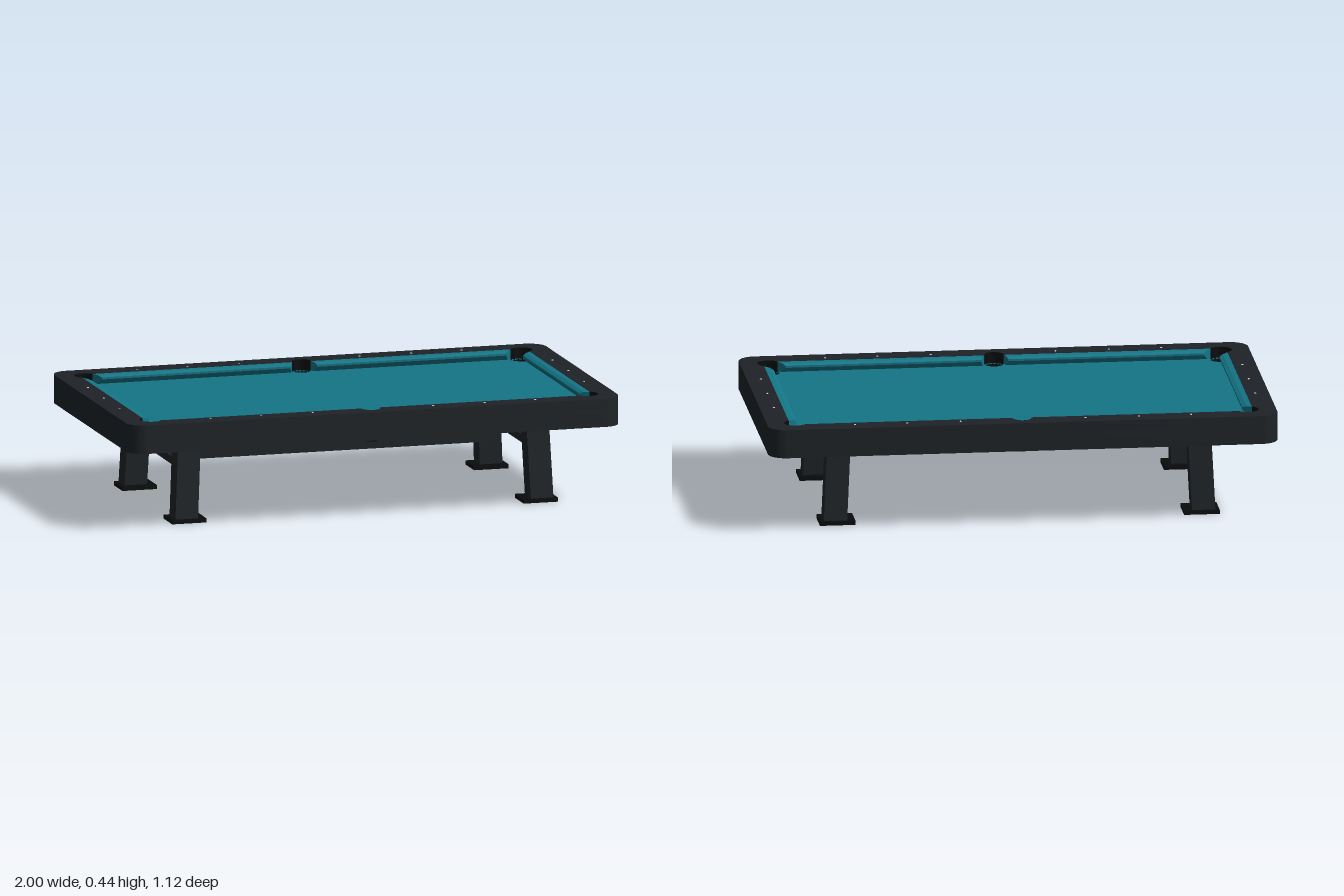
import * as THREE from 'three';
import { toCreasedNormals } from 'three/addons/utils/BufferGeometryUtils.js';

const paint = (color, side = THREE.FrontSide) => new THREE.MeshStandardMaterial({ color, side });
const RAIL_X = 0.91, RAIL_Z = 0.475;      // inner edge of the rails
const CORNER = { x: 0.888, z: 0.451, r: 0.044 };
const MIDDLE = { x: 0, z: 0.479, r: 0.038 };

// Outline of the playing opening, bulging outwards at the pockets
function openingPoints() {
  const pts = [];
  const arc = (cx, cy, r, from, to, turn) => {
    for (let i = 0; i <= 16; i++) {
      const a = from + (to - from) * i / 16 - turn;
      pts.push(new THREE.Vector2(cx + r * Math.cos(a), cy + r * Math.sin(a)));
    }
  };
  const cz = Math.asin((RAIL_Z - CORNER.z) / CORNER.r);
  const cx = Math.acos((RAIL_X - CORNER.x) / CORNER.r);
  const m = Math.asin((MIDDLE.z - RAIL_Z) / MIDDLE.r);
  const corner = (sx, sz, from, to, turn) => arc(sx * CORNER.x, sz * CORNER.z, CORNER.r, from, to, turn);
  const middle = (sz, turn) => arc(0, sz * MIDDLE.z, MIDDLE.r, Math.PI + m, -m, turn);
  middle(1, 0);
  corner(1, 1, Math.PI - cz, -cx, 0);
  corner(1, -1, cx, cz - Math.PI, 0);
  middle(-1, Math.PI);
  corner(-1, -1, Math.PI - cz, -cx, Math.PI);
  corner(-1, 1, cx, cz - Math.PI, Math.PI);
  return pts;
}

function roundedRect(Type, hx, hz, r) {
  const s = new Type();
  s.absarc(hx - r, hz - r, r, 0, Math.PI / 2);
  s.absarc(r - hx, hz - r, r, Math.PI / 2, Math.PI);
  s.absarc(r - hx, r - hz, r, Math.PI, Math.PI * 1.5);
  s.absarc(hx - r, r - hz, r, Math.PI * 1.5, Math.PI * 2);
  s.closePath();
  return s;
}

// Horizontal slab between two heights
function slab(shape, y0, y1) {
  const g = new THREE.ExtrudeGeometry(shape, { depth: y1 - y0, bevelEnabled: false, curveSegments: 8 });
  g.rotateX(-Math.PI / 2).translate(0, y0, 0);
  return toCreasedNormals(g, 0.6);
}

// Cushion running from a to b, with its ends cut back towards the nose
function cushionGeometry(a, b, cutA, cutB) {
  const profile = new THREE.Shape([[0, 0.395], [0.018, 0.395], [0.035, 0.415], [0.035, 0.423], [0.02, 0.43], [0, 0.432]]
    .map(p => new THREE.Vector2(...p)));
  const g = new THREE.ExtrudeGeometry(profile, { depth: 1, bevelEnabled: false });
  const p = g.attributes.position;
  for (let i = 0; i < p.count; i++) {
    const d = p.getX(i);
    p.setZ(i, p.getZ(i) < 0.5 ? a + cutA * d : b - cutB * d);
  }
  g.computeVertexNormals();
  return g;
}

export function createModel() {
  const model = new THREE.Group();
  const wood = paint(0x1e2327), cloth = paint(0x147586);
  const black = paint(0x090b0c, THREE.DoubleSide), light = paint(0xcccccc);
  const add = (name, geometry, material, parent = model) => {
    const mesh = new THREE.Mesh(geometry, material);
    mesh.name = name;
    parent.add(mesh);
    return mesh;
  };
  const box = (name, w, h, d, x, y, z, material) =>
    add(name, new THREE.BoxGeometry(w, h, d), material).position.set(x, y, z);

  // Rail top with pocket cut-outs, and the thin apron below it
  const rail = roundedRect(THREE.Shape, 1, 0.56, 0.07);
  rail.holes.push(new THREE.Path(openingPoints()));
  add('railTop', slab(rail, 0.395, 0.433), wood);
  const apron = roundedRect(THREE.Shape, 1, 0.56, 0.07);
  apron.holes.push(roundedRect(THREE.Path, 0.978, 0.538, 0.05));
  add('apron', slab(apron, 0.32, 0.395), wood);

  // Cloth bed, reaching under the rails, with a hole for each pocket
  const bed = roundedRect(THREE.Shape, 0.965, 0.528, 0.04);

  // Pockets: a cup below the bed and a liner around the outer side
  const pocket = (x, z, r, sweep, facing) => {
    bed.holes.push(new THREE.Path().absarc(x, z, r, 0, Math.PI * 2));
    const g = new THREE.Group();
    g.name = 'pocket';
    g.position.set(x, 0, z);
    g.rotation.y = facing;
    const v = (a, b) => new THREE.Vector2(a, b);
    add('pocketCup', new THREE.LatheGeometry(
      [v(0, 0.305), v(r * 0.75, 0.305), v(r * 0.97, 0.32), v(r, 0.395)], 24), black, g);
    add('pocketLiner', new THREE.LatheGeometry(
      [v(r - 0.001, 0.39), v(r - 0.001, 0.433)], 20, -sweep / 2, sweep), black, g);
    model.add(g);
  };
  for (const sz of [-1, 1]) {
    pocket(0, sz * MIDDLE.z, MIDDLE.r, 2.95, sz > 0 ? 0 : Math.PI);
    for (const sx of [-1, 1])
      pocket(sx * CORNER.x, sz * CORNER.z, CORNER.r, 3.68, Math.atan2(sx, sz));
  }
  add('bed', slab(bed, 0.385, 0.395), cloth);

  // Cushions: two per long side, one per end
  const cushions = [
    [cushionGeometry(0.039, 0.85, 0.4, 0.8), 1],
    [cushionGeometry(-0.85, -0.039, 0.8, 0.4), 1],
    [cushionGeometry(-0.412, 0.412, 0.8, 0.8), 0],
  ];
  for (const turn of [0, Math.PI]) {
    const half = new THREE.Group();
    half.name = 'cushionSet';
    half.rotation.y = turn;
    for (const [geometry, long] of cushions) {
      const c = add(long ? 'longCushion' : 'endCushion', geometry, cloth, half);
      c.rotation.y = long ? Math.PI / 2 : Math.PI;
      c.position.set(long ? 0 : RAIL_X, 0, long ? RAIL_Z : 0);
    }
    model.add(half);
  }

  // Rail sights
  const sight = new THREE.CylinderGeometry(0.004, 0.006, 0.004, 12);
  const addSight = (x, z) => add('railSight', sight, light).position.set(x, 0.433, z);
  for (const s of [-1, 1]) {
    for (const x of [0.245, 0.455, 0.66]) {
      addSight(x, s * 0.505);
      addSight(-x, s * 0.505);
    }
    for (const z of [-0.217, 0, 0.217]) addSight(s * 0.945, z);
  }

  // Splayed legs with thick mounting blocks and feet
  for (const sx of [-1, 1]) for (const sz of [-1, 1]) {
    const leg = new THREE.BoxGeometry(0.092, 0.35, 0.082);
    leg.translate(0, 0.19, 0);
    const p = leg.attributes.position;
    for (let i = 0; i < p.count; i++) {
      const t = (p.getY(i) - 0.015) / 0.35;
      p.setX(i, p.getX(i) + sx * (0.723 - 0.017 * t));
      p.setZ(i, p.getZ(i) + sz * (0.35 - 0.015 * t));
    }
    leg.computeVertexNormals();
    add('leg', leg, wood);
    box('foot', 0.14, 0.016, 0.12, sx * 0.715, 0.008, sz * 0.341, black);
    box('legBlock', 0.125, 0.043, 0.115, sx * 0.706, 0.3635, sz * 0.335, light);
  }

  // Under-table beams
  for (const s of [-1, 1]) box('crossBeam', 0.05, 0.031, 0.506, s * 0.715, 0.222, 0, wood);
  box('longBeam', 1.226, 0.04, 0.034, 0, 0.194, 0, wood);

  return model;
}
